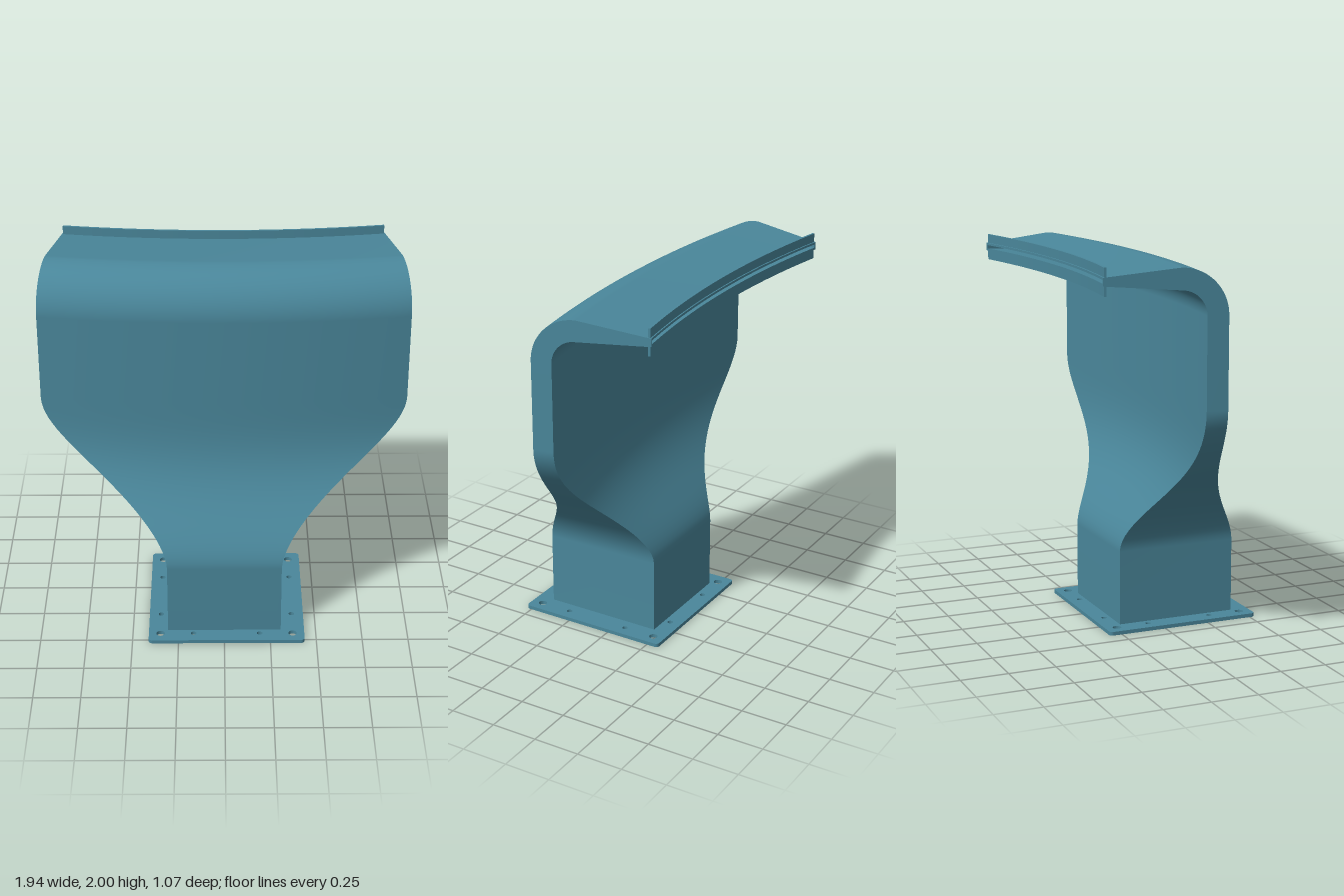
import * as THREE from 'three';
import { mergeGeometries } from 'three/addons/utils/BufferGeometryUtils.js';

const R = 6.07;            // plan radius of the curved front face
const FRONT = 0.16;        // z of the curved front face on the centre line
const CZ = FRONT - R;      // z of the sweep axis
const WALL = 0.012;
const BASE = 0.42, SHOULDER = 1.28, BEND = 1.75;
const { lerp, smoothstep } = THREE.MathUtils;

// Stations along the duct: front and back point [z, y], half width, amount of plan curvature
function makeStations() {
  const list = [];
  const add = (front, back, half, bend) => list.push({ front, back, half, bend });
  add([0.435, 0.01], [-0.22, 0.01], 0.308, 0);
  // square neck blending into the wide, thin, curved body
  for (let i = 0; i <= 28; i++) {
    const t = i / 28, y = lerp(BASE, SHOULDER, t);
    const k = smoothstep(1 - Math.pow(1 - t, 1.8), 0, 1);
    add([lerp(0.435, FRONT, k), y], [lerp(-0.22, 0.05, k), y], lerp(0.308, 0.97, smoothstep(t, 0, 1)), k);
  }
  // elbow turning backwards
  for (let i = 0; i <= 18; i++) {
    const a = (i / 18) * Math.PI / 2, c = Math.cos(a), s = Math.sin(a);
    add([-0.08 + 0.24 * c, BEND + 0.24 * s], [-0.08 + 0.13 * c, BEND + 0.13 * s], 0.97, 1);
  }
  // tapering lip
  add([-0.468, 1.952], [-0.468, 1.91], 0.97, 1);
  return list;
}

// Point on a station: u across (-1..1), v from front (0) to back (1)
function ductPoint(st, u, v, inset) {
  const [fz, fy] = st.front, [bz, by] = st.back;
  const margin = inset / Math.hypot(fz - bz, fy - by);
  const f = lerp(margin, 1 - margin, v);
  const z = lerp(fz, bz, f), y = lerp(fy, by, f);
  const half = st.half - inset;
  const angle = Math.asin(half / R) * u;
  const r = z - CZ;
  return [lerp(half * u, r * Math.sin(angle), st.bend), y, z - st.bend * r * (1 - Math.cos(angle))];
}

// Grid surface from a point rule
function grid(nu, nv, point, flip = false) {
  const pos = [], index = [];
  for (let j = 0; j <= nv; j++) for (let i = 0; i <= nu; i++) pos.push(...point(i / nu, j));
  for (let j = 0; j < nv; j++) for (let i = 0; i < nu; i++) {
    const a = j * (nu + 1) + i, b = a + 1, d = a + nu + 1, c = d + 1;
    if (flip) index.push(a, c, b, a, d, c);
    else index.push(a, b, c, a, c, d);
  }
  const g = new THREE.BufferGeometry();
  g.setAttribute('position', new THREE.Float32BufferAttribute(pos, 3));
  g.setIndex(index);
  g.computeVertexNormals();
  return g;
}

// The four sides, running round the duct: [segments, t => [u, v]]
const SIDES = [
  [32, t => [2 * t - 1, 0]],
  [1, t => [1, t]],
  [32, t => [1 - 2 * t, 1]],
  [1, t => [-1, 1 - t]],
];

function ductSkin(stations, inset, flip) {
  return mergeGeometries(SIDES.map(([n, uv]) =>
    grid(n, stations.length - 1, (t, j) => ductPoint(stations[j], ...uv(t), inset), flip)));
}

// Edge of the wall around the slot
function lipRim(station) {
  return mergeGeometries(SIDES.map(([n, uv]) =>
    grid(n, 1, (t, j) => ductPoint(station, ...uv(t), j * WALL))));
}

// Curved strip following the lip
function lipStrip(bottom, top) {
  const a = Math.asin(0.97 / R) * 0.993, mid = -Math.PI / 2;
  const outer = -0.45 - CZ, inner = -0.462 - CZ;
  const s = new THREE.Shape();
  s.absarc(0, -CZ, outer, mid - a, mid + a, false);
  s.absarc(0, -CZ, inner, mid + a, mid - a, true);
  return new THREE.ExtrudeGeometry(s, { depth: top - bottom, bevelEnabled: false, curveSegments: 32 })
    .rotateX(-Math.PI / 2).translate(0, bottom, 0);
}

// Square base plate with bolt holes and duct opening
function basePlate() {
  const h = 0.424, r = 0.02, cx = 0.012, cz = 0.106;
  const s = new THREE.Shape();
  s.absarc(h - r, h - r, r, 0, Math.PI / 2);
  s.absarc(r - h, h - r, r, Math.PI / 2, Math.PI);
  s.absarc(r - h, r - h, r, Math.PI, Math.PI * 1.5);
  s.absarc(h - r, r - h, r, Math.PI * 1.5, Math.PI * 2);
  s.closePath();
  const hole = (x, y, radius) => s.holes.push(new THREE.Path().absarc(x, y, radius, 0, Math.PI * 2, true));
  for (const a of [-1, 1]) for (const b of [-1, 1]) {
    hole(0.36 * a, 0.36 * b, 0.023);
    hole(0.18 * a, 0.36 * b, 0.015);
    hole(0.36 * a, 0.18 * b, 0.015);
  }
  const w = 0.296, d = 0.315;
  s.holes.push(new THREE.Path([[-w, -d], [-w, d], [w, d], [w, -d]]
    .map(([x, y]) => new THREE.Vector2(x - cx, y))));
  return new THREE.ExtrudeGeometry(s, { depth: 0.02, bevelEnabled: false, curveSegments: 10 })
    .rotateX(-Math.PI / 2).translate(cx, 0, cz);
}

export function createModel() {
  const group = new THREE.Group();
  group.name = 'ductAdapter';
  const paint = new THREE.MeshStandardMaterial({ color: 0x4a879b });
  paint.name = 'tealPaint';
  const add = (name, geometry) => {
    const mesh = new THREE.Mesh(geometry, paint);
    mesh.name = name;
    group.add(mesh);
  };
  const stations = makeStations();
  add('ductOuterSkin', ductSkin(stations, 0, false));
  add('ductInnerSkin', ductSkin(stations, WALL, true));
  add('lipRim', lipRim(stations[stations.length - 1]));
  add('upperLipFlange', lipStrip(1.945, 2.0));
  add('lowerLipFlange', lipStrip(1.86, 1.917));
  add('basePlate', basePlate());
  return group;
}
